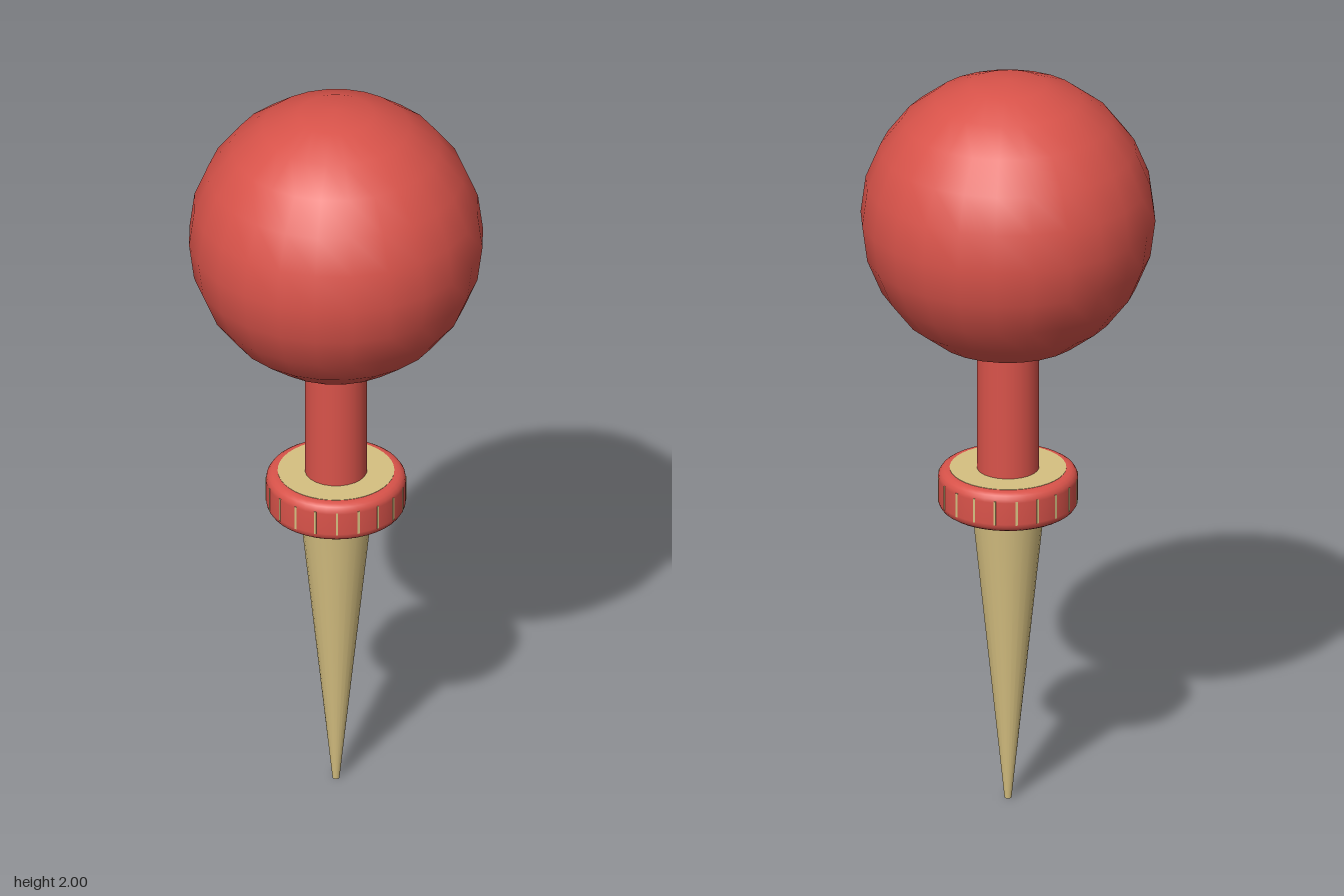
import * as THREE from 'three';

export function createModel() {
  const model = new THREE.Group();
  const red = new THREE.MeshStandardMaterial({ color: 0xd9534a });
  const tan = new THREE.MeshStandardMaterial({ color: 0xd6c081 });

  const add = (name, geometry, material, y = 0) => {
    const mesh = new THREE.Mesh(geometry, material);
    mesh.name = name;
    mesh.position.y = y;
    model.add(mesh);
    return mesh;
  };

  // Round head and its stem
  add('ballHead', new THREE.SphereGeometry(0.38, 24, 12), red, 1.62);
  add('stem', new THREE.CylinderGeometry(0.08, 0.08, 0.38, 24), red, 1.09);

  // Collar: rounded red band around a tan core
  const inner = 0.145, outer = 0.18, low = 0.81, high = 0.92, bevel = 0.025;
  const profile = [new THREE.Vector2(inner, low)];
  for (const [cy, start] of [[low + bevel, -Math.PI / 2], [high - bevel, 0]]) {
    for (let i = 0; i <= 4; i++) {
      const a = start + (i / 4) * Math.PI / 2;
      profile.push(new THREE.Vector2(outer - bevel + bevel * Math.cos(a), cy + bevel * Math.sin(a)));
    }
  }
  profile.push(new THREE.Vector2(inner, high));
  add('collarBand', new THREE.LatheGeometry(profile, 40), red);
  add('collarCore', new THREE.CylinderGeometry(0.15, 0.15, high - low + 0.002, 40), tan, (low + high) / 2);

  // Thin tan notches around the band
  const notches = new THREE.Group();
  notches.name = 'collarNotches';
  const notchGeometry = new THREE.BoxGeometry(0.006, 0.066, 0.006);
  for (let i = 0; i < 20; i++) {
    const a = (i + 0.5) * Math.PI / 10;
    const notch = new THREE.Mesh(notchGeometry, tan);
    notch.name = 'notch';
    notch.position.set(0.178 * Math.sin(a), 0.866, 0.178 * Math.cos(a));
    notch.rotation.y = a;
    notches.add(notch);
  }
  model.add(notches);

  // Tapered spike
  add('spike', new THREE.CylinderGeometry(0.095, 0.009, 0.82, 24), tan, 0.41);

  return model;
}
